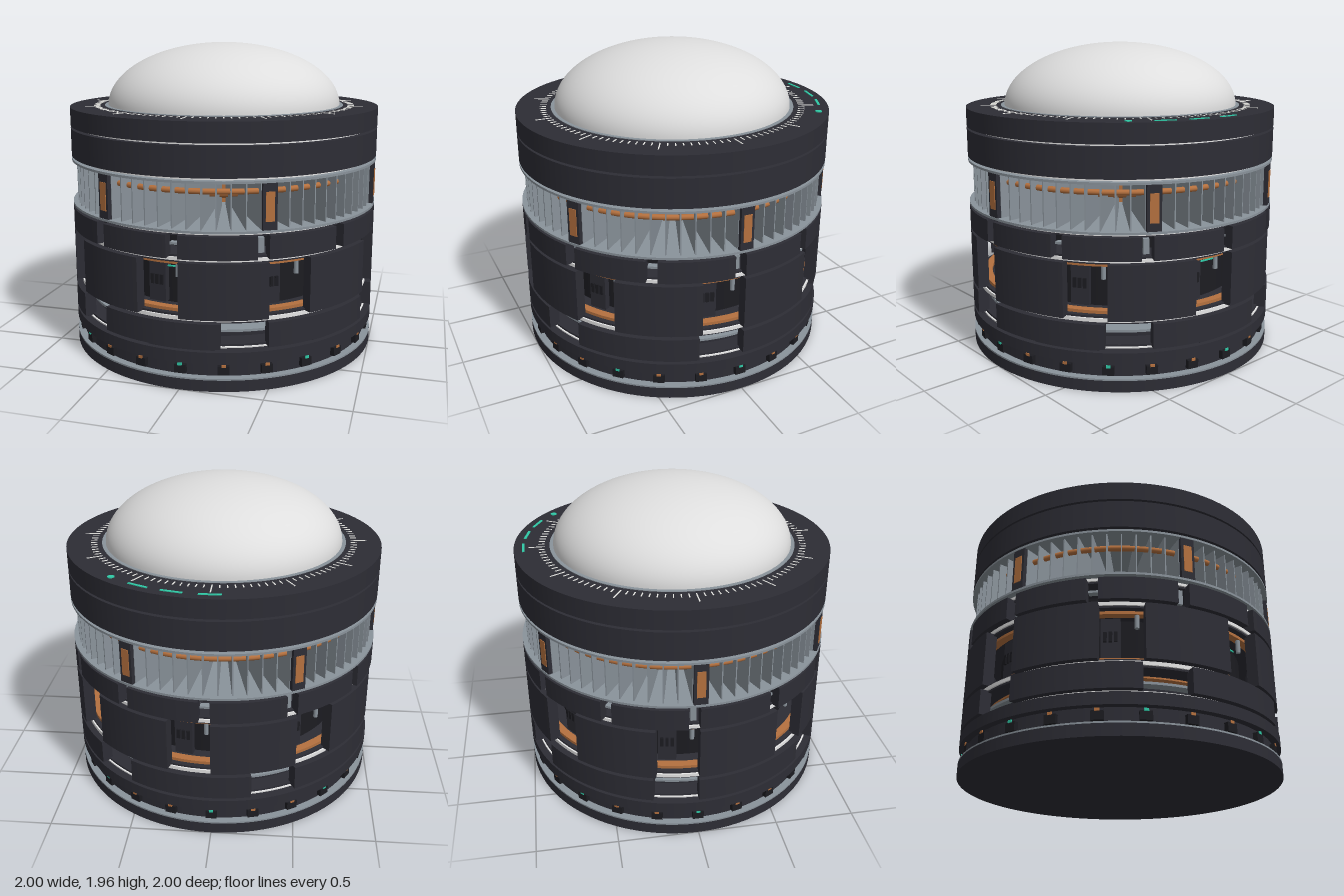
import * as THREE from 'three';
import { mergeGeometries, toCreasedNormals } from 'three/addons/utils/BufferGeometryUtils.js';

const paint = (name, color) => {
  const m = new THREE.MeshStandardMaterial({ color });
  m.name = name;
  return m;
};
const rad = THREE.MathUtils.degToRad;

export function createModel() {
  const body = paint('charcoal body', 0x2d2d35);
  const cavity = paint('dark cavity', 0x1c1c21);
  const steel = paint('steel', 0x8a939b);
  const copper = paint('copper', 0xb5713f);
  const pearl = paint('pearl dome', 0xdedede);
  const teal = paint('teal indicator', 0x2fc9a6);
  const tickWhite = paint('tick white', 0xe6e6e2);
  const seamWhite = paint('seam white', 0xffffff);

  const model = new THREE.Group();
  const add = (name, geo, mat) => {
    const m = new THREE.Mesh(geo, mat);
    m.name = name;
    model.add(m);
    return m;
  };

  // Solid disc between two heights
  const disc = (name, r, y0, y1, mat) =>
    add(name, new THREE.CylinderGeometry(r, r, y1 - y0, 96).translate(0, (y0 + y1) / 2, 0), mat);

  // Square-section ring between two heights
  const ringGeo = (r0, r1, y0, y1) => {
    const p = [[r0, y0], [r1, y0], [r1, y1], [r0, y1], [r0, y0]].map(a => new THREE.Vector2(...a));
    return toCreasedNormals(new THREE.LatheGeometry(p, 96), 0.5);
  };

  // Curved wall panel; angles in degrees from the front (+z) towards +x
  const arcGeo = (r0, r1, y0, y1, a0, a1) => {
    const s = new THREE.Shape();
    s.absarc(0, 0, r1, rad(a0 - 90), rad(a1 - 90), false);
    s.absarc(0, 0, r0, rad(a1 - 90), rad(a0 - 90), true);
    s.closePath();
    const g = new THREE.ExtrudeGeometry(s, { depth: y1 - y0, bevelEnabled: false, curveSegments: 14 });
    g.rotateX(-Math.PI / 2).translate(0, y0, 0);
    return toCreasedNormals(g, 0.5);
  };

  // Box placed at a radius and angle, its depth pointing outwards
  const boxAt = (w, h, d, r, y, deg) =>
    new THREE.BoxGeometry(w, h, d).translate(0, y, r).rotateY(rad(deg));

  // Same geometry repeated at several angles, merged
  const repeat = (angles, make) => mergeGeometries(angles.map(make));
  const steps = (n, start = 0) => Array.from({ length: n }, (_, i) => start + i * 360 / n);

  // Base with connector channel
  disc('basePlate', 1, 0, 0.07, body);
  disc('baseCover', 0.87, -0.002, 0.002, body).position.y = 0.002;
  disc('baseTrim', 1, 0.07, 0.08, steel);
  disc('connectorChannel', 0.955, 0.08, 0.17, body);
  disc('baseCollar', 1, 0.17, 0.24, body);
  add('basePads', repeat(steps(6), a => arcGeo(0.84, 0.97, 0.24, 0.252, a - 12, a + 12)), body);

  // Connector studs, every third one with a teal light
  const studs = steps(24);
  add('connectorStuds', repeat(studs, a => boxAt(0.068, 0.052, 0.035, 0.965, 0.12, a)), cavity);
  const lights = list => repeat(list, a => boxAt(0.026, 0.016, 0.006, 0.983, 0.15, a));
  add('tealStudLights', lights(studs.filter((_, i) => i % 3 === 0)), teal);
  add('copperStudLights', lights(studs.filter((_, i) => i % 3 !== 0)), copper);

  // Inner core behind the open bands
  disc('innerCore', 0.78, 0.24, 0.935, cavity);

  // Open bands: wall panels with windows between them, closed by lids
  const band = (name, y0, y1, n, start, span) => {
    add(name + 'Panels', repeat(steps(n, start), a => arcGeo(0.93, 1, y0, y1, a, a + span)), body);
    disc(name + 'Floor', 0.95, y0, y0 + 0.012, body);
    disc(name + 'Ceiling', 0.95, y1 - 0.012, y1, body);
  };
  band('lowerBand', 0.26, 0.41, 6, 30, 44);
  band('middleBand', 0.432, 0.765, 8, 0, 30);
  band('upperBand', 0.785, 0.922, 12, 0, 26);

  // Lower band rails
  add('lowerRail', ringGeo(0.8, 0.9, 0.325, 0.34), steel);
  add('lowerShelf', ringGeo(0.78, 0.87, 0.29, 0.31), body);
  add('lowerUpperRail', ringGeo(0.78, 0.86, 0.375, 0.385), copper);

  // Middle band fittings
  const windows = steps(8, -7.5);
  add('windowTracks', mergeGeometries([
    ringGeo(0.87, 0.92, 0.445, 0.464), ringGeo(0.87, 0.92, 0.73, 0.748)]), copper);
  add('windowGrilles', repeat(windows, a => boxAt(0.11, 0.25, 0.04, 0.85, 0.6, a - 4)), body);
  add('grilleRibs', repeat(windows, a => mergeGeometries([0, 1, 2].map(i =>
    boxAt(0.02, 0.06, 0.012, 0.875, 0.61, a - 6 + i * 2)))), cavity);
  add('windowPosts', repeat(windows, a =>
    new THREE.CylinderGeometry(0.014, 0.014, 0.08, 12).translate(0, 0.69, 0.9).rotateY(rad(a + 5.5))), steel);
  add('windowLights', repeat(steps(4, -3.5), a => boxAt(0.13, 0.008, 0.008, 0.84, 0.69, a)), teal);

  // Upper band latches
  add('latchBars', repeat(steps(6, -2), a => boxAt(0.06, 0.014, 0.04, 0.93, 0.86, a)), steel);
  add('latchPins', repeat(steps(6, 28), a => boxAt(0.035, 0.09, 0.03, 0.93, 0.855, a)), steel);

  // Heat exchanger: plates, radial fins, copper coils and clamps
  disc('finPlateBottom', 1, 0.938, 0.952, steel);
  disc('finPlateTop', 1, 1.22, 1.234, steel);
  add('coolingFins', repeat(steps(72, 2.5), a => boxAt(0.007, 0.27, 0.65, 0.645, 1.086, a)), steel);
  disc('copperCore', 0.26, 0.952, 1.22, copper);
  for (const [r, y] of [[0.91, 1.16], [0.65, 1.09], [0.37, 1.02]])
    add('copperCoil', new THREE.TorusGeometry(r, 0.017, 10, 96).rotateX(Math.PI / 2).translate(0, y, 0), copper);
  const clamps = steps(6, 30);
  add('finClamps', repeat(clamps, a => boxAt(0.085, 0.268, 0.07, 0.96, 1.086, a)), body);
  add('clampInserts', repeat(clamps, a => boxAt(0.052, 0.17, 0.006, 0.996, 1.086, a)), copper);

  // Upper housing
  disc('housing', 1, 1.25, 1.428, body);
  disc('bezel', 1, 1.442, 1.56, body);

  // Pale seams recessed between the layers
  for (const [y0, y1] of [[0.252, 0.26], [0.41, 0.432], [0.765, 0.785], [0.922, 0.938], [1.234, 1.25], [1.428, 1.442]])
    add('seam', ringGeo(0.93, 0.96, y0, y1), seamWhite);

  // Dome and its trim
  const profile = Array.from({ length: 33 }, (_, i) => {
    const t = i / 32 * Math.PI / 2;
    return new THREE.Vector2(Math.max(0, 0.755 * Math.cos(t)), 1.56 + 0.4 * Math.sin(t));
  });
  add('dome', new THREE.LatheGeometry(profile, 96), pearl);
  add('domeTrim', ringGeo(0.745, 0.778, 1.55, 1.564), steel);

  // Dial ticks, a long one every thirty degrees
  add('dialTicks', repeat(steps(120), a => {
    const len = a % 30 === 0 ? 0.1 : 0.04;
    return boxAt(0.007, 0.004, len, 0.808 + len / 2, 1.561, a);
  }), tickWhite);

  // Teal indicators near the back edge of the bezel
  add('indicatorBars', repeat([180, 167, 154.3], a => boxAt(0.128, 0.005, 0.016, 0.94, 1.562, a)), teal);
  add('indicatorDot', new THREE.CylinderGeometry(0.021, 0.021, 0.006, 20).translate(0.58, 1.562, -0.735), teal);

  return model;
}
